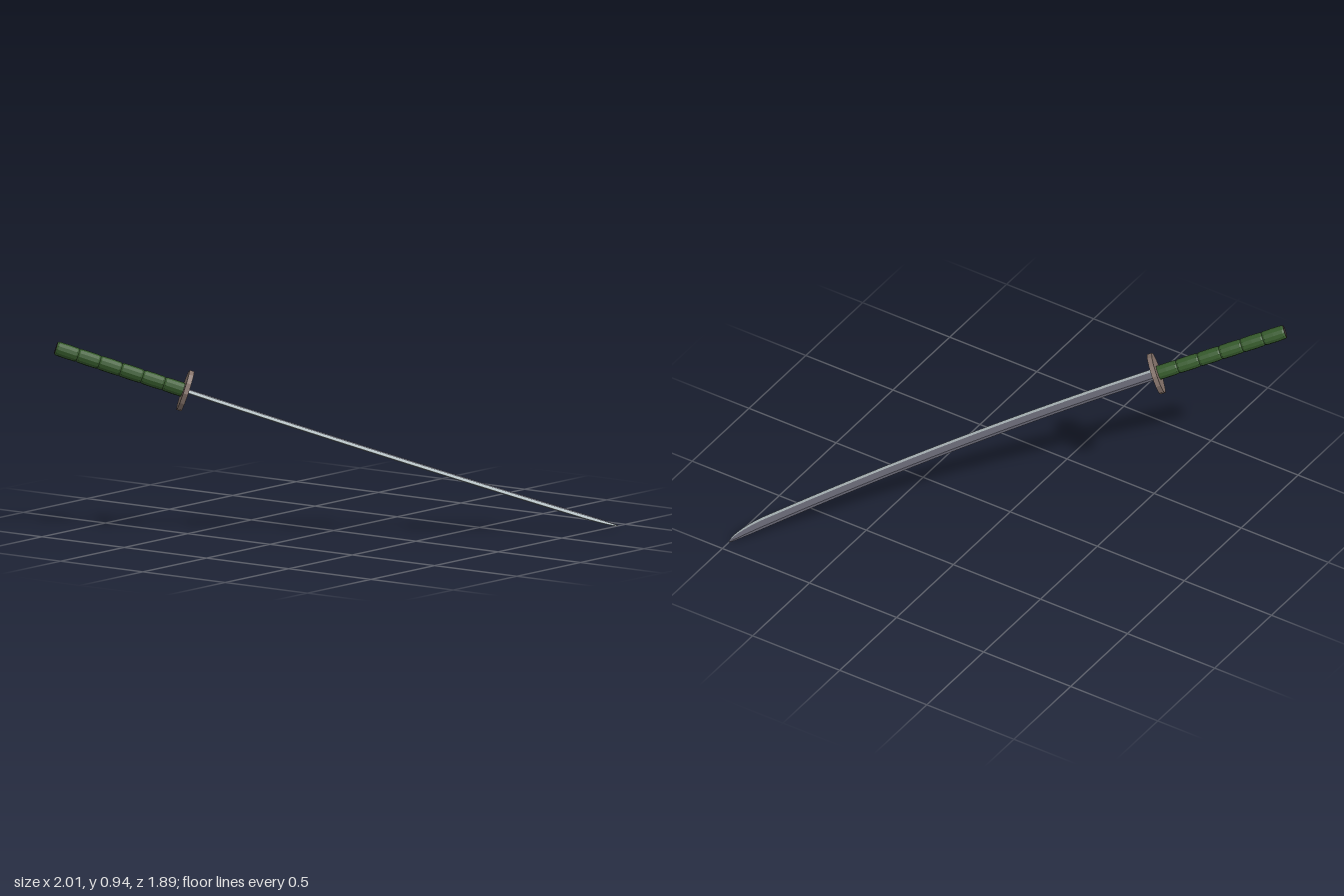
import * as THREE from 'three';

const mat = (name, color, flatShading = true) => {
  const m = new THREE.MeshStandardMaterial({ color, flatShading });
  m.name = name;
  return m;
};

const LENGTH = 2.2, WIDTH = 0.08;

// Cross-section of the blade at distance x: spine, ridge, edge, ridge, spine
function section(x) {
  const spine = 0.036 + 0.039 * x * x;
  const s = Math.max(0, (x - 2.02) / (LENGTH - 2.02));
  const taper = s > 0 ? Math.sqrt(Math.max(0, 1 - Math.pow(s, 1.6))) : 1;
  const ridge = spine - WIDTH * 0.58 * taper;
  const edge = spine - WIDTH * taper;
  const t = 0.009 * taper;
  return [[spine, t * 0.8], [ridge, t], [edge, 0], [ridge, -t], [spine, -t * 0.8]]
    .map(([y, z]) => new THREE.Vector3(x, y, z));
}

// Joins the given sides of successive cross-sections into one surface
function bladeStrip(stations, sides) {
  const pos = [];
  const tri = (...pts) => pts.forEach((p) => pos.push(p.x, p.y, p.z));
  for (let i = 0; i < stations.length - 1; i++) {
    const a = stations[i], b = stations[i + 1];
    for (const j of sides) {
      const k = (j + 1) % 5;
      tri(a[j], a[k], b[k]);
      tri(a[j], b[k], b[j]);
    }
  }
  const g = new THREE.BufferGeometry();
  g.setAttribute('position', new THREE.Float32BufferAttribute(pos, 3));
  g.computeVertexNormals();
  return g;
}

export function createModel() {
  const steel = mat('dark steel', 0x656572);
  const edgeSteel = mat('bright edge', 0xb4bfc2);
  const bronze = mat('guard bronze', 0x84726a);
  const wrapGreen = mat('green wrap', 0x365a2c);
  const core = mat('dark grip core', 0x3d3436);

  const model = new THREE.Group();
  model.name = 'sword';
  const add = (name, geometry, material) => {
    const mesh = new THREE.Mesh(geometry, material);
    mesh.name = name;
    model.add(mesh);
    return mesh;
  };

  // Curved blade, with denser sections at the point
  const xs = [];
  for (let i = 0; i <= 16; i++) xs.push((2.02 * i) / 16);
  for (let i = 1; i <= 8; i++) xs.push(2.02 + (LENGTH - 2.02) * Math.sin((i / 8) * Math.PI / 2));
  const stations = xs.map(section);
  add('bladeBody', bladeStrip(stations, [0, 3, 4]), steel);
  add('bladeEdge', bladeStrip(stations, [1, 2]), edgeSteel);

  // Round guard plate
  const guard = new THREE.CylinderGeometry(0.102, 0.102, 0.024, 12);
  guard.rotateZ(Math.PI / 2);
  add('guard', guard, bronze);

  // Grip core, whose end shows as the pommel
  const coreGeo = new THREE.CylinderGeometry(0.031, 0.031, 0.657, 12);
  coreGeo.rotateZ(Math.PI / 2);
  add('gripCore', coreGeo, core).position.x = -0.3285;

  // Slightly bulging wrap segments
  const count = 6, seg = 0.655 / count;
  const profile = [[0.031, 0], [0.0345, 0.008], [0.0355, seg / 2], [0.0345, seg - 0.008], [0.031, seg]]
    .map(([r, h]) => new THREE.Vector2(r, h));
  const wrap = new THREE.LatheGeometry(profile, 12);
  wrap.rotateZ(Math.PI / 2);
  for (let i = 0; i < count; i++) add('gripWrap' + (i + 1), wrap, wrapGreen).position.x = -i * seg;

  // Tilt: point down and back, cutting edge to the front left
  const along = new THREE.Vector3(0.739, -0.318, -0.588).normalize();
  const spineDir = new THREE.Vector3(-0.588, 0, -0.739).normalize();
  spineDir.set(-0.6226, 0, -0.7825);
  const up = new THREE.Vector3().crossVectors(along, spineDir).normalize();
  spineDir.crossVectors(up, along);
  model.quaternion.setFromRotationMatrix(new THREE.Matrix4().makeBasis(along, spineDir, up));
  model.position.set(-0.492, 0.702, 0.53);

  const root = new THREE.Group();
  root.name = 'curvedSword';
  root.add(model);
  return root;
}
